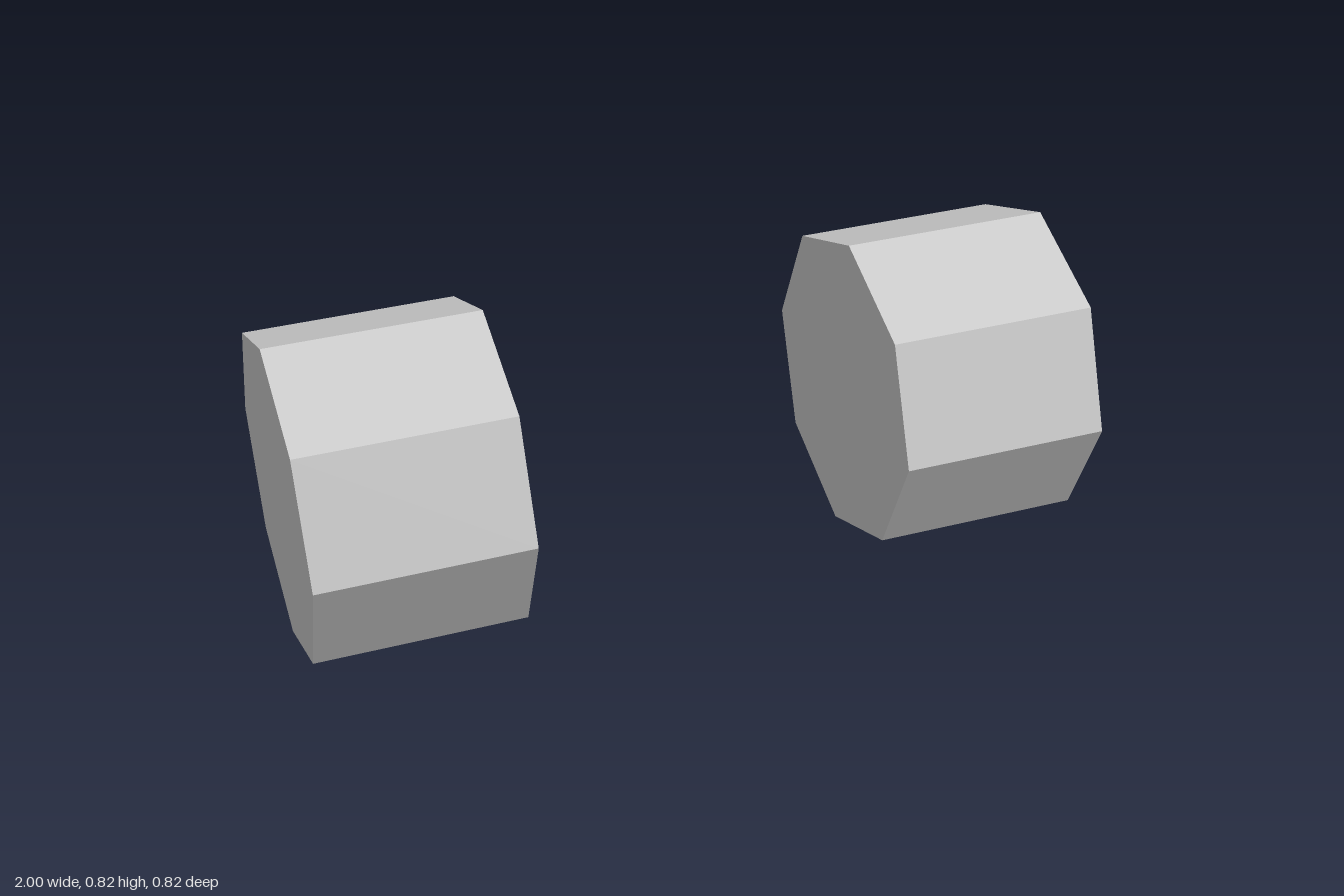
import * as THREE from 'three';

const RADIUS = 0.412;
const INNER_X = 0.47;
const OUTER_X = 1;

export function createModel() {
  const model = new THREE.Group();
  model.name = 'wheelPair';

  const lightGrey = new THREE.MeshStandardMaterial({ color: 0xcccccc, flatShading: true });
  lightGrey.name = 'light grey';

  // Eight-sided wheel with its axis along x and a corner pointing straight up
  const wheelGeometry = new THREE.CylinderGeometry(RADIUS, RADIUS, OUTER_X - INNER_X, 8);
  wheelGeometry.rotateZ(Math.PI / 2);

  // Mirrored pair standing on the ground
  for (const [name, side] of [['leftWheel', 1], ['rightWheel', -1]]) {
    const wheel = new THREE.Mesh(wheelGeometry, lightGrey);
    wheel.name = name;
    wheel.position.set(side * (INNER_X + OUTER_X) / 2, RADIUS, 0);
    model.add(wheel);
  }

  return model;
}
